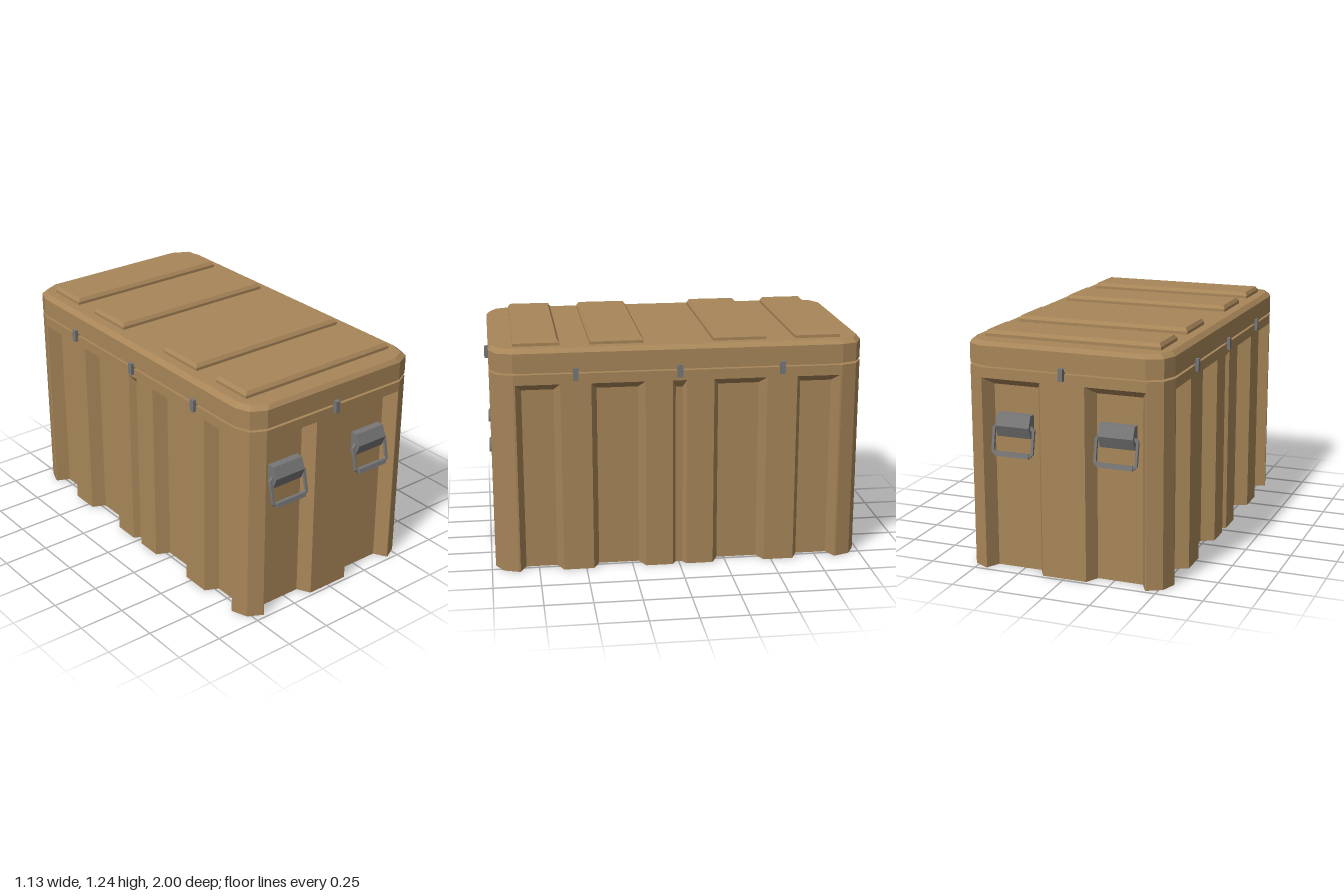
import * as THREE from 'three';

const tan = new THREE.MeshStandardMaterial({ color: 0xa88659, flatShading: true });
const grey = new THREE.MeshStandardMaterial({ color: 0x777777, flatShading: true });

// Skin a stack of rings of [x, y, z]; optionally close the bottom and top
function loft(rings, capBottom, capTop) {
  const n = rings[0].length, index = [];
  for (let r = 0; r < rings.length - 1; r++) {
    for (let i = 0; i < n; i++) {
      const j = (i + 1) % n, a = r * n + i, b = r * n + j;
      index.push(a, a + n, b + n, a, b + n, b);
    }
  }
  const cap = (r, up) => {
    const flat = rings[r].map(([x, , z]) => new THREE.Vector2(x, z));
    for (const [a, b, c] of THREE.ShapeUtils.triangulateShape(flat, [])) {
      const turn = (flat[b].x - flat[a].x) * (flat[c].y - flat[a].y)
        - (flat[b].y - flat[a].y) * (flat[c].x - flat[a].x);
      const flip = (turn > 0) === up;
      index.push(r * n + a, r * n + (flip ? c : b), r * n + (flip ? b : c));
    }
  };
  if (capBottom) cap(0, false);
  if (capTop) cap(rings.length - 1, true);
  const geo = new THREE.BufferGeometry();
  geo.setAttribute('position', new THREE.Float32BufferAttribute(rings.flat(2), 3));
  geo.setIndex(index);
  const out = geo.toNonIndexed();
  out.computeVertexNormals();
  return out;
}

function add(parent, name, geo, mat, x = 0, y = 0, z = 0) {
  const mesh = new THREE.Mesh(geo, mat);
  mesh.name = name;
  mesh.position.set(x, y, z);
  parent.add(mesh);
  return mesh;
}

const W = 0.55, L = 0.98;
const SEAM = [0.52 / 0.55, 0.95 / 0.98];

// Plan outline: half of it is listed, the other half is the same turned 180 degrees
function turned(half) {
  return [...half, ...half.map((p) => ({ ...p, x: -p.x, z: -p.z, ox: -p.ox, oz: -p.oz }))];
}
const point = (x, z, ox = x, oz = z, inner = false) => ({ x, z, ox, oz, inner });

function bodyOutline() {
  const half = [point(W, -0.86)];
  // Long side recesses: start, end, slope, depth
  for (const [a, b, s, d] of [
    [-0.85, -0.62, 0.032, 0.07], [-0.46, -0.18, 0.032, 0.07], [-0.037, 0.037, 0.019, 0.035],
    [0.18, 0.46, 0.032, 0.07], [0.62, 0.85, 0.032, 0.07]]) {
    half.push(point(W, a), point(W - d, a + s, W, a, true), point(W - d, b - s, W, b, true), point(W, b));
  }
  half.push(point(W, 0.86), point(0.52, 0.94), point(0.445, L));
  // End recesses
  for (const [a, b] of [[0.44, 0.12], [-0.12, -0.44]]) {
    half.push(point(a, L), point(a - 0.038, L - 0.07, a, L, true),
      point(b + 0.038, L - 0.07, b, L, true), point(b, L));
  }
  half.push(point(-0.445, L), point(-0.52, 0.94));
  return turned(half);
}

// Grey carrying handle with a wedge bracket and a tilted loop
function handle() {
  const g = new THREE.Group();
  g.name = 'handle';
  const wedge = new THREE.Shape([[-0.035, -0.06], [0.01, -0.06], [0.035, 0], [0.01, 0.06], [-0.035, 0.06]]
    .map(([x, y]) => new THREE.Vector2(x, y)));
  const bracketGeo = new THREE.ExtrudeGeometry(wedge, { depth: 0.186, bevelEnabled: false });
  bracketGeo.translate(0, 0, -0.093).rotateY(-Math.PI / 2);
  add(g, 'handleBracket', bracketGeo, grey);

  const roundedRect = (path, w, top, bottom, r) => {
    path.moveTo(-w + r, bottom).lineTo(w - r, bottom).lineTo(w, bottom + r).lineTo(w, top - r);
    path.lineTo(w - r, top).lineTo(-w + r, top).lineTo(-w, top - r).lineTo(-w, bottom + r).closePath();
    return path;
  };
  const loopShape = roundedRect(new THREE.Shape(), 0.116, 0.005, -0.155, 0.018);
  loopShape.holes.push(roundedRect(new THREE.Path(), 0.102, -0.01, -0.141, 0.012));
  const swing = new THREE.Group();
  swing.name = 'handleSwing';
  const loopGeo = new THREE.ExtrudeGeometry(loopShape, { depth: 0.014, bevelEnabled: false });
  add(swing, 'handleLoop', loopGeo.translate(0, 0, -0.007), grey);
  add(swing, 'handleGrip', new THREE.BoxGeometry(0.186, 0.024, 0.026), grey, 0, -0.148, 0);
  swing.position.z = 0.006;
  swing.rotation.x = -0.2;
  g.add(swing);
  return g;
}

export function createModel() {
  const model = new THREE.Group();
  model.name = 'storageCase';

  // Body with recessed panels that slope out below the rim
  const outline = bodyOutline();
  const full = (y, sx = 1, sz = 1) => outline.map((p) => [p.ox * sx, y, p.oz * sz]);
  add(model, 'body', loft([
    outline.map((p) => [p.x, 0, p.z]),
    outline.map((p) => [p.x, p.inner ? 0.977 : 1.02, p.z]),
    full(1.02), full(1.074), full(1.074, ...SEAM),
  ], true, false), tan);

  // Seal in the seam, and lid with a chamfered top edge
  const plan = turned([point(W, -0.86), point(W, 0.86), point(0.52, 0.94), point(0.44, L),
    point(-0.44, L), point(-0.52, 0.94)]);
  const ring = (y, sx = 1, sz = 1) => plan.map((p) => [p.x * sx, y, p.z * sz]);
  add(model, 'seal', loft([ring(1.07, ...SEAM), ring(1.09, ...SEAM)], true, true), tan);
  add(model, 'lid', loft([ring(1.086, ...SEAM), ring(1.086), ring(1.185),
    ring(1.207, 0.955, 0.982)], false, true), tan);

  // Raised ribs across the lid
  for (const [a, b] of [[-0.86, -0.62], [-0.465, -0.185], [0.18, 0.46], [0.615, 0.855]]) {
    const rect = (y, i) => [[0.475 - i, y, a + i], [0.475 - i, y, b - i], [-0.475 + i, y, b - i], [-0.475 + i, y, a + i]];
    add(model, 'lidRib', loft([rect(1.2, 0), rect(1.222, 0), rect(1.24, 0.013)], false, true), tan);
  }

  // Latches over the seam
  for (const side of [-1, 1]) {
    add(model, 'endLatch', new THREE.BoxGeometry(0.025, 0.065, 0.035), grey, 0, 1.073, side * 0.9825);
    for (const z of [-0.54, 0, 0.54]) {
      add(model, 'sideLatch', new THREE.BoxGeometry(0.035, 0.065, 0.028), grey, side * 0.55, 1.073, z);
    }
  }

  // Two handles on each end
  for (const turn of [0, Math.PI]) {
    const end = new THREE.Group();
    end.name = turn ? 'backHandles' : 'frontHandles';
    for (const x of [-0.28, 0.28]) {
      const h = handle();
      h.position.set(x, 0.775, 0.94);
      end.add(h);
    }
    end.rotation.y = turn;
    model.add(end);
  }
  return model;
}
